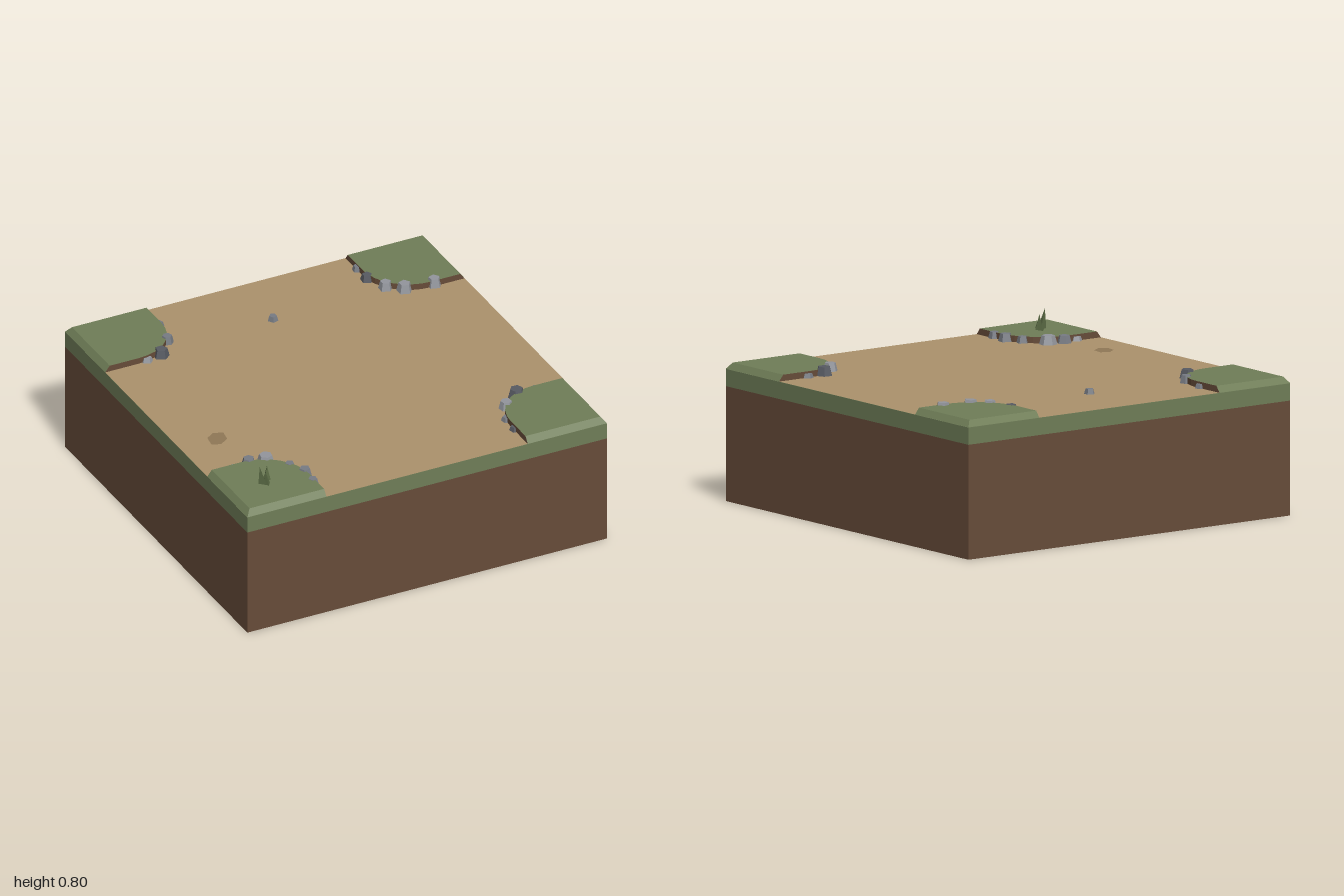
import * as THREE from 'three';

const GROUND = 0.668, PAD_TOP = 0.7, BEVEL = 0.025, EDGE = 0.56;

const mat = (color, side = THREE.FrontSide) =>
  new THREE.MeshStandardMaterial({ color, flatShading: true, side });

const MATS = {
  dirt: mat(0x674c39), grass: mat(0x6f7d57), path: mat(0xab916c),
  patch: mat(0x8f7856), blade: mat(0x5a6a44, THREE.DoubleSide),
  light: mat(0x92959c), mid: mat(0x777b83), dark: mat(0x575a62),
};

function add(parent, name, geometry, material, x = 0, y = 0, z = 0) {
  const mesh = new THREE.Mesh(geometry, material);
  mesh.name = name;
  mesh.position.set(x, y, z);
  parent.add(mesh);
  return mesh;
}

// Quads between matching bottom and top points, each [x, z]
function strip(bottom, top, y0, y1) {
  const pos = [];
  for (let i = 0; i < bottom.length - 1; i++) {
    const a = [bottom[i][0], y0, bottom[i][1]], b = [bottom[i + 1][0], y0, bottom[i + 1][1]];
    const c = [top[i + 1][0], y1, top[i + 1][1]], d = [top[i][0], y1, top[i][1]];
    pos.push(...a, ...c, ...b, ...a, ...d, ...c);
  }
  const g = new THREE.BufferGeometry();
  g.setAttribute('position', new THREE.Float32BufferAttribute(pos, 3));
  g.computeVertexNormals();
  return g;
}

// Flat polygon facing up from [x, z] points
function flat(points) {
  const shape = new THREE.Shape(points.map(([x, z]) => new THREE.Vector2(x, -z)));
  return new THREE.ShapeGeometry(shape).rotateX(-Math.PI / 2);
}

// Raised corner lawn: rounded toward the crossing, bevelled on the outer sides
function cornerLawn() {
  const group = new THREE.Group();
  const centre = 0.81, radius = centre - EDGE;
  const arc = [];
  for (let i = 0; i <= 8; i++) {
    const a = Math.PI + (i / 8) * Math.PI / 2;
    arc.push([centre + radius * Math.cos(a), centre + radius * Math.sin(a)]);
  }
  const inset = 1 - BEVEL;
  const low = [[EDGE, 1], ...arc, [1, EDGE]];
  const high = [[EDGE, inset], ...arc, [inset, EDGE]];
  add(group, 'lawnTop', flat([...high, [inset, inset]]), MATS.grass, 0, PAD_TOP, 0);
  add(group, 'lawnBank', strip(low, high, GROUND, PAD_TOP), MATS.dirt);
  add(group, 'lawnBevel', strip([[1, EDGE], [1, 1], [EDGE, 1]],
    [[inset, EDGE], [inset, inset], [EDGE, inset]], GROUND, PAD_TOP), MATS.grass);
  return group;
}

// Leaning three-sided grass blade
function blade(r, height, leanX, leanZ, turn) {
  const g = new THREE.ConeGeometry(r, height, 3, 1, true).rotateY(turn).translate(0, height / 2, 0);
  const p = g.attributes.position;
  for (let i = 0; i < p.count; i++) {
    const t = p.getY(i) / height;
    p.setX(i, p.getX(i) + leanX * t);
    p.setZ(i, p.getZ(i) + leanZ * t);
  }
  return g;
}

// Stones: x, z, radius, top height, sides, shade
const STONES = [
  [-0.56, -0.84, 0.028, 0.69, 5, 'mid'], [-0.595, -0.68, 0.034, 0.708, 6, 'mid'],
  [-0.68, -0.575, 0.042, 0.712, 5, 'dark'], [-0.765, -0.565, 0.032, 0.69, 5, 'light'],
  [0.56, -0.87, 0.028, 0.695, 5, 'mid'], [0.56, -0.765, 0.035, 0.702, 5, 'dark'],
  [0.605, -0.65, 0.038, 0.71, 5, 'light'], [0.68, -0.59, 0.042, 0.713, 5, 'light'],
  [0.835, -0.57, 0.04, 0.713, 5, 'light'],
];
const FRONT_STONES = [
  [0.62, 0.643, 0.038, 0.71, 6, 'light'], [0.717, 0.565, 0.045, 0.713, 6, 'dark'],
  [0.82, 0.562, 0.03, 0.69, 5, 'mid'], [0.57, 0.75, 0.03, 0.69, 5, 'mid'],
  [0.565, 0.85, 0.03, 0.69, 5, 'dark'],
  [-0.85, 0.562, 0.03, 0.69, 5, 'light'], [-0.765, 0.55, 0.038, 0.707, 6, 'mid'],
  [-0.68, 0.57, 0.046, 0.713, 6, 'light'], [-0.6, 0.675, 0.032, 0.702, 5, 'mid'],
  [-0.56, 0.762, 0.038, 0.708, 5, 'mid'], [-0.565, 0.86, 0.032, 0.702, 5, 'mid'],
  [-0.03, -0.633, 0.028, 0.695, 5, 'mid'],
];

export function createModel() {
  const root = new THREE.Group();
  root.name = 'groundTile';

  // Layered block
  add(root, 'dirtBlock', new THREE.BoxGeometry(2, 0.58, 2), MATS.dirt, 0, 0.29, 0);
  add(root, 'grassBand', new THREE.BoxGeometry(2, 0.087, 2), MATS.grass, 0, 0.6235, 0);
  add(root, 'crossingPath', new THREE.PlaneGeometry(2, 2).rotateX(-Math.PI / 2), MATS.path, 0, GROUND, 0);

  // Four corner lawns
  for (let i = 0; i < 4; i++) {
    const lawn = cornerLawn();
    lawn.name = 'cornerLawn' + (i + 1);
    lawn.rotation.y = i * Math.PI / 2;
    root.add(lawn);
  }

  // Border stones and one loose stone
  const stones = new THREE.Group();
  stones.name = 'stones';
  root.add(stones);
  [...STONES, ...FRONT_STONES].forEach(([x, z, r, top, sides, shade], i) => {
    const h = top - GROUND;
    const stone = add(stones, 'stone' + (i + 1),
      new THREE.CylinderGeometry(r * 0.72, r, h, sides), MATS[shade], x, GROUND + h / 2, z);
    stone.rotation.y = i * 1.3;
  });

  // Worn patch on the path
  add(root, 'wornPatch', flat([[-0.79, 0.205], [-0.835, 0.235], [-0.845, 0.3],
    [-0.8, 0.318], [-0.75, 0.285], [-0.74, 0.222]]), MATS.patch, 0, GROUND + 0.003, 0);

  // Grass tuft
  const tuft = new THREE.Group();
  tuft.name = 'grassTuft';
  tuft.position.set(-0.79, PAD_TOP, 0.78);
  root.add(tuft);
  [[-0.015, 0.01, 0.025, 0.1, -0.02, 0, 0.3], [0.012, -0.01, 0.022, 0.08, 0.006, -0.005, 1.2],
    [0, 0.025, 0.02, 0.065, -0.005, -0.01, 2], [0.015, -0.03, 0.018, 0.06, 0, 0.02, 0.8]]
    .forEach(([x, z, r, h, lx, lz, turn], i) =>
      add(tuft, 'grassBlade' + (i + 1), blade(r, h, lx, lz, turn), MATS.blade, x, 0, z));

  return root;
}
